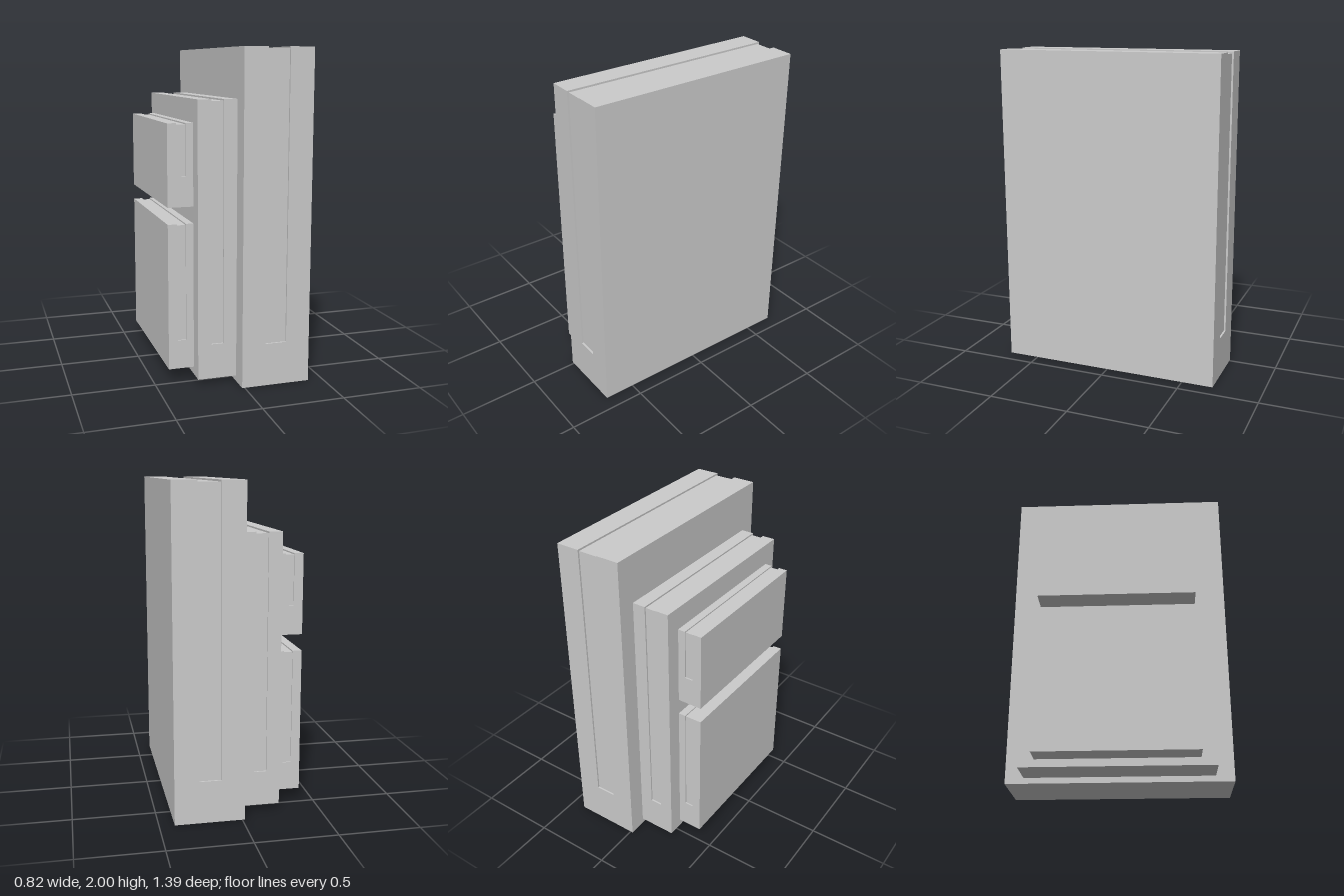
import * as THREE from 'three';

const material = new THREE.MeshStandardMaterial({ color: 0xcccccc, flatShading: true });

// A bag compartment: a block with a shallow zip channel running up the front, over the top and down the back.
function compartment(name, { x0, x1, y0, y1, halfDepth, zip0, zip1, zipY, inset }) {
  const group = new THREE.Group();
  group.name = name;

  // U-shaped shell, open where the zip band sits
  const outline = [
    [x0, y0], [x1, y0], [x1, y1], [zip1, y1],
    [zip1, zipY], [zip0, zipY], [zip0, y1], [x0, y1],
  ].map(([x, y]) => new THREE.Vector2(x, y));
  const shellGeometry = new THREE.ExtrudeGeometry(new THREE.Shape(outline), {
    depth: 2 * halfDepth, bevelEnabled: false,
  });
  shellGeometry.translate(0, 0, -halfDepth);
  const shell = new THREE.Mesh(shellGeometry, material);
  shell.name = name + 'Shell';

  // Recessed zip band filling the slot
  const top = y1 - inset;
  const band = new THREE.Mesh(
    new THREE.BoxGeometry(zip1 - zip0, top - zipY, 2 * (halfDepth - inset)), material);
  band.position.set((zip0 + zip1) / 2, (zipY + top) / 2, 0);
  band.name = name + 'ZipBand';

  group.add(shell, band);
  return group;
}

export function createModel() {
  const model = new THREE.Group();
  model.name = 'backpack';

  const pocket = { x0: -0.411, x1: -0.255, halfDepth: 0.487, zip0: -0.355, zip1: -0.301, inset: 0.008 };
  model.add(
    compartment('mainCompartment', {
      x0: -0.016, x1: 0.408, y0: 0, y1: 2, halfDepth: 0.697,
      zip0: 0.128, zip1: 0.26, zipY: 0.26, inset: 0.011,
    }),
    compartment('middleCompartment', {
      x0: -0.255, x1: -0.016, y0: 0.036, y1: 1.705, halfDepth: 0.583,
      zip0: -0.173, zip1: -0.097, zipY: 0.25, inset: 0.01,
    }),
    compartment('lowerPocket', { ...pocket, y0: 0.083, y1: 0.974, zipY: 0.26 }),
    compartment('upperPocket', { ...pocket, y0: 1.075, y1: 1.567, zipY: 1.254 }),
  );
  return model;
}
